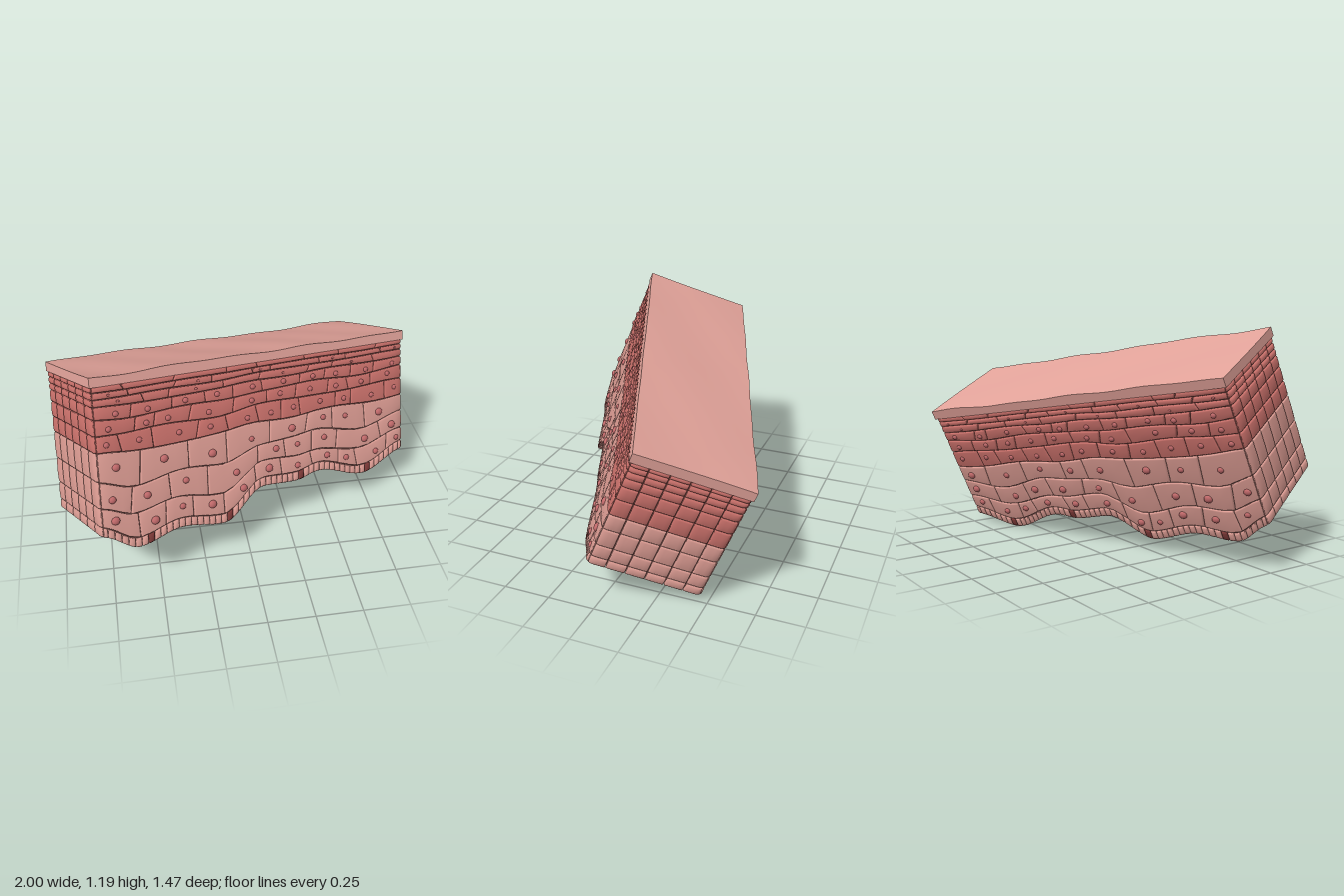
import * as THREE from 'three';
import { mergeGeometries } from 'three/addons/utils/BufferGeometryUtils.js';

const X = 0.955, Z = 0.301, R = 0.032;           // tissue half width, half depth, corner radius
const mat = (name, color, side = THREE.FrontSide) => {
  const m = new THREE.MeshStandardMaterial({ color, side });
  m.name = name;
  return m;
};

// small seeded random
let seed = 7;
const rnd = () => (seed = (seed * 16807) % 2147483647) / 2147483647;

// depth of the wavy underside below the top, along x
const WAVE = [[0, 0.8], [0.2, 0.893], [0.44, 0.845], [0.69, 0.88], [0.94, 0.73], [1.15, 0.742],
  [1.3, 0.715], [1.61, 0.79], [1.912, 0.695]];
function bottom(x) {
  const s = Math.min(1.911, Math.max(0, x + 0.956));
  const i = WAVE.findIndex((p, k) => s < WAVE[k + 1][0]);
  const [a, b] = [WAVE[i], WAVE[i + 1]];
  return a[1] + (b[1] - a[1]) * THREE.MathUtils.smoothstep(s, a[0], b[0]);
}

// depth of the boundary above row i: six red rows, three pink rows, one basal row
const RED = [0.049, 0.078, 0.11, 0.15, 0.21, 0.285, 0.38];
const PINK = [0, 0.38, 0.72, 1];
const BASAL = 0.05;
function boundary(i, x) {
  const b = bottom(x), wob = Math.sin(9 * x + i * 2.1);
  if (i === 10) return b;
  if (i === 9) return b - BASAL;
  const red = RED[6] + 0.15 * (b - 0.79);
  if (i >= 6) return red + (b - BASAL - red) * PINK[i - 6] + 0.008 * wob;
  return RED[i] + 0.15 * (b - 0.79) * i / 6 + 0.0012 * i * wob;
}

// the four upright faces, walked around the block
const CORNERS = [[-X, Z], [X, Z], [X, -Z], [-X, -Z]];
function onFace(face, t) {
  const a = CORNERS[face], b = CORNERS[(face + 1) % 4];
  return [a[0] + (b[0] - a[0]) * t, a[1] + (b[1] - a[1]) * t];
}
// point on the rounded block, raised by off
function place(face, t, depth, off) {
  const [x, z] = onFace(face, t);
  const cx = THREE.MathUtils.clamp(x, R - X, X - R), cz = THREE.MathUtils.clamp(z, R - Z, Z - R);
  const l = Math.hypot(x - cx, z - cz), k = (R + off) / l;
  return [cx + (x - cx) * k, -depth, cz + (z - cz) * k];
}

// one cushion-shaped cell between two slanted joints [t, slant]
function cell(face, row, j0, j1, bulge) {
  const len = (face % 2 ? 2 * Z : 2 * X);
  const mid = (j0[0] + j1[0]) / 2, mx = onFace(face, mid)[0];
  const height = boundary(row + 1, mx) - boundary(row, mx), width = (j1[0] - j0[0]) * len;
  const steps = (size, inner) => {
    const g = Math.min(0.0025 / size, 0.07), b = Math.min(0.009 / size, 0.22);
    return [g, g, b, ...inner, 1 - b, 1 - g, 1 - g];
  };
  const us = steps(width, width > 0.06 ? [0.3, 0.5, 0.7] : [0.5]), vs = steps(height, [0.5]);
  const ring = (i, n) => Math.max(0, 2 - Math.min(i, n - 1 - i));
  const pos = [], idx = [], nu = us.length;
  vs.forEach((v, r) => us.forEach((u, c) => {
    const a = j0[0] + j0[1] * (v - 0.5), b = j1[0] + j1[1] * (v - 0.5);
    const t = a + (b - a) * u, x = onFace(face, t)[0];
    const top = boundary(row, x), low = boundary(row + 1, x);
    const drop = [0, 0.004, 0.018][Math.max(ring(c, nu), ring(r, vs.length))];
    const puff = bulge * (1 - (2 * u - 1) ** 2) * (1 - (2 * v - 1) ** 2);
    pos.push(...place(face, t, top + (low - top) * v, puff - drop));
    if (c < nu - 1 && r < vs.length - 1) {
      const p = r * nu + c, q = p + nu;
      idx.push(p, q, p + 1, q, q + 1, p + 1);
    }
  }));
  const g = new THREE.BufferGeometry();
  g.setAttribute('position', new THREE.Float32BufferAttribute(pos, 3));
  g.setIndex(idx);
  g.computeVertexNormals();
  return g;
}

export function createModel() {
  const model = new THREE.Group();
  const block = new THREE.Group();
  block.name = 'tissueBlock';
  const add = (name, geo, material) => {
    const m = new THREE.Mesh(geo, material);
    m.name = name;
    block.add(m);
  };
  const parts = { red: [], pink: [], basal: [], stalk: [], nuclei: [] };

  // staggered cells on front and back, an even grid on the ends
  const COUNT = [8, 9, 8, 10, 10, 11, 8, 9, 11, 54];
  for (let face = 0; face < 4; face++) {
    const end = face % 2 === 1;
    for (let row = 0; row < 10; row++) {
      const n = end ? 6 : COUNT[row], loose = !end && row < 9;
      const joints = [];
      for (let i = 0; i <= n; i++) {
        const inner = loose && i > 0 && i < n;
        joints.push([(i + (inner ? (rnd() - 0.5) * 0.6 : 0)) / n, inner ? (rnd() - 0.5) * 0.025 : 0]);
      }
      for (let i = 0; i < n; i++) {
        const k = face === 2 ? n - 1 - i : i;
        const kind = row < 6 ? 'red' : row < 9 ? 'pink' : !end && k % 13 === 7 ? 'stalk' : 'basal';
        parts[kind].push(cell(face, row, joints[i], joints[i + 1], end ? 0.004 : 0.001));
        // nucleus in each larger cell of the long faces
        if (!loose || row < 1 || (row < 3 && i % 2)) continue;
        const t = joints[i][0] + (joints[i + 1][0] - joints[i][0]) * (0.35 + 0.3 * rnd());
        const x = onFace(face, t)[0], v = 0.4 + 0.2 * rnd();
        const depth = boundary(row, x) * (1 - v) + boundary(row + 1, x) * v;
        const size = row < 3 ? 0.008 : row < 6 ? 0.014 : 0.014 + 0.008 * rnd();
        parts.nuclei.push(new THREE.SphereGeometry(1, 12, 8)
          .scale(size * 1.1, row < 3 ? size * 0.7 : size, size * 0.7)
          .translate(...place(face, t, depth, 0.001)));
      }
    }
  }
  add('upperCells', mergeGeometries(parts.red), mat('red cells', 0xca716b));
  const pink = mat('pink cells', 0xdb9b92);
  add('lowerCells', mergeGeometries(parts.pink), pink);
  add('basalCells', mergeGeometries(parts.basal), pink);
  const dark = mat('dark stalk', 0x7a3836);
  add('darkBasalCells', mergeGeometries(parts.stalk), dark);
  add('nuclei', mergeGeometries(parts.nuclei), mat('nucleus', 0xc0696a));

  // core seen in the grooves
  const inset = 0.013, outline = [[X - inset, -0.03], [inset - X, -0.03]];
  for (let i = 0; i <= 80; i++) {
    const x = (X - inset) * (i / 40 - 1);
    outline.push([x, 0.012 - bottom(x)]);
  }
  const shape = new THREE.Shape(outline.map(p => new THREE.Vector2(...p)));
  const depth = 2 * (Z - inset);
  add('core', new THREE.ExtrudeGeometry(shape, { depth, bevelEnabled: false }).translate(0, 0, -depth / 2),
    mat('groove', 0x8f5a55));

  // smooth wavy underside
  const under = new THREE.PlaneGeometry(2 * X - 0.016, 2 * Z - 0.016, 90, 1).rotateX(Math.PI / 2);
  const up = under.attributes.position;
  for (let i = 0; i < up.count; i++) up.setY(i, 0.002 - bottom(up.getX(i)));
  under.computeVertexNormals();
  add('underside', under, mat('underside', 0xcf988f));

  // dark flat cells on the underside
  const spots = [[-0.41, 0.1], [0.46, 0.01], [-0.7, -0.12], [0.1, -0.1]].map(([x, z]) => {
    const g = new THREE.CircleGeometry(0.03, 16).rotateX(Math.PI / 2).scale(1, 1, 0.7).translate(x, 0, z);
    const p = g.attributes.position;
    for (let i = 0; i < p.count; i++) p.setY(i, -0.002 - bottom(p.getX(i)));
    return g;
  });
  add('undersideSpots', mergeGeometries(spots), dark);

  // gently rippled top layer
  const slab = new THREE.BoxGeometry(1.912, 0.05, 0.604, 48, 1, 14).translate(0, -0.025, 0);
  const sp = slab.attributes.position;
  for (let i = 0; i < sp.count; i++) {
    const x = sp.getX(i), z = sp.getZ(i);
    const ripple = Math.sin(6.5 * x + 3 * z) * Math.cos(7 * z - 2 * x) + 0.6 * Math.sin(15 * x - 9 * z);
    if (sp.getY(i) > -0.01) sp.setY(i, 0.005 * ripple);
  }
  slab.computeVertexNormals();
  add('topLayer', slab, mat('top layer', 0xe1a299));

  // tilt of the whole block
  const u = new THREE.Vector3(0.926, -0.157, -0.345).normalize();
  const n = new THREE.Vector3(0.013, 0.92, -0.384).normalize();
  const w = new THREE.Vector3().crossVectors(u, n).normalize();
  n.crossVectors(w, u);
  block.quaternion.setFromRotationMatrix(new THREE.Matrix4().makeBasis(u, n, w));
  block.position.set(0, 0.936, -0.155);
  model.add(block);
  const box = new THREE.Box3().setFromObject(model, true);
  block.position.y -= box.min.y;
  return model;
}
